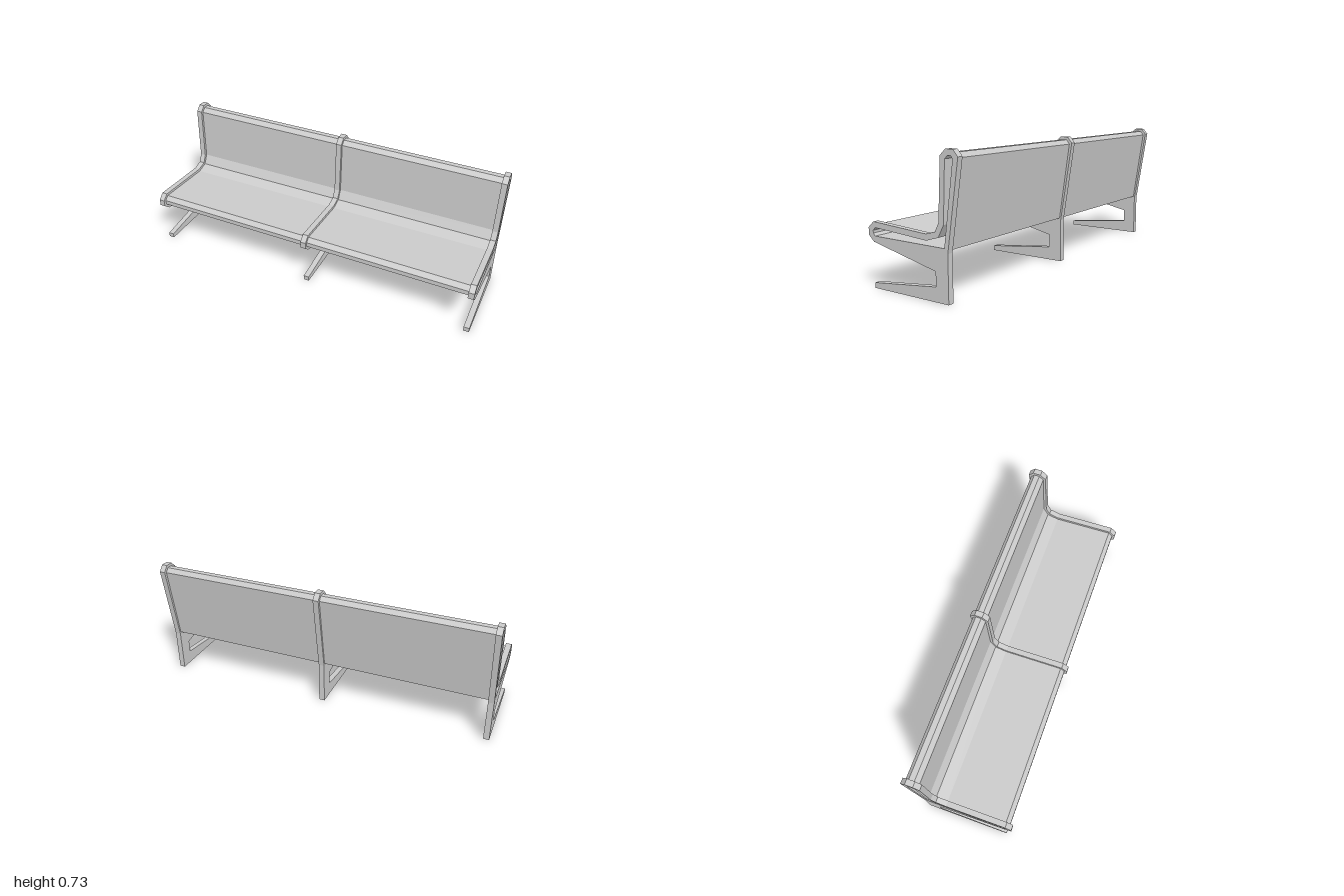
import * as THREE from 'three';

const FRAME_W = 0.033;
const material = new THREE.MeshStandardMaterial({ color: 0xcccccc, flatShading: true });

// Side profiles as [z, y] points
const frameOutline = [
  [-0.226, 0], [-0.226, 0.245], [-0.296, 0.697], [-0.267, 0.73], [-0.222, 0.73], [-0.189, 0.699],
  [-0.172, 0.386], [-0.148, 0.34], [-0.09, 0.323], [0.264, 0.343], [0.299, 0.311], [0.299, 0.272],
  [0.264, 0.24], [-0.148, 0.15], [-0.148, 0.075], [0.266, 0.028], [0.266, 0],
];
const slot = [
  [0.254, 0.27], [0.267, 0.284], [0.267, 0.298], [0.252, 0.313], [-0.092, 0.291], [-0.168, 0.314],
  [-0.203, 0.378], [-0.217, 0.684], [-0.235, 0.7], [-0.254, 0.7], [-0.264, 0.684], [-0.205, 0.268],
];
const panelOutline = [
  [0.258, 0.256], [0.283, 0.278], [0.283, 0.305], [0.258, 0.328], [-0.091, 0.307], [-0.158, 0.327],
  [-0.188, 0.382], [-0.203, 0.691], [-0.229, 0.714], [-0.26, 0.714], [-0.28, 0.69], [-0.218, 0.256],
];

const toPoints = (list) => list.map(([z, y]) => new THREE.Vector2(z, y));

// Extrude a slotted side profile across x, centred on the given x
function slottedProfile(name, outline, width, x) {
  const shape = new THREE.Shape(toPoints(outline));
  shape.holes.push(new THREE.Path(toPoints(slot)));
  const geometry = new THREE.ExtrudeGeometry(shape, { depth: width, bevelEnabled: false });
  geometry.translate(0, 0, -width / 2);
  geometry.rotateY(-Math.PI / 2);
  const mesh = new THREE.Mesh(geometry, material);
  mesh.name = name;
  mesh.position.x = x;
  return mesh;
}

export function createModel() {
  const bench = new THREE.Group();
  bench.name = 'bench';

  // Three slab frames, each with foot, post and armature for the seat
  const frameX = 1 - FRAME_W / 2;
  [['rightFrame', -frameX], ['middleFrame', 0], ['leftFrame', frameX]].forEach(([name, x]) =>
    bench.add(slottedProfile(name, frameOutline, FRAME_W, x)));

  // Two hollow seat-and-back shells between the frames
  const panelW = frameX - FRAME_W;
  [['rightSeatShell', -1], ['leftSeatShell', 1]].forEach(([name, side]) =>
    bench.add(slottedProfile(name, panelOutline, panelW, side * frameX / 2)));

  return bench;
}
